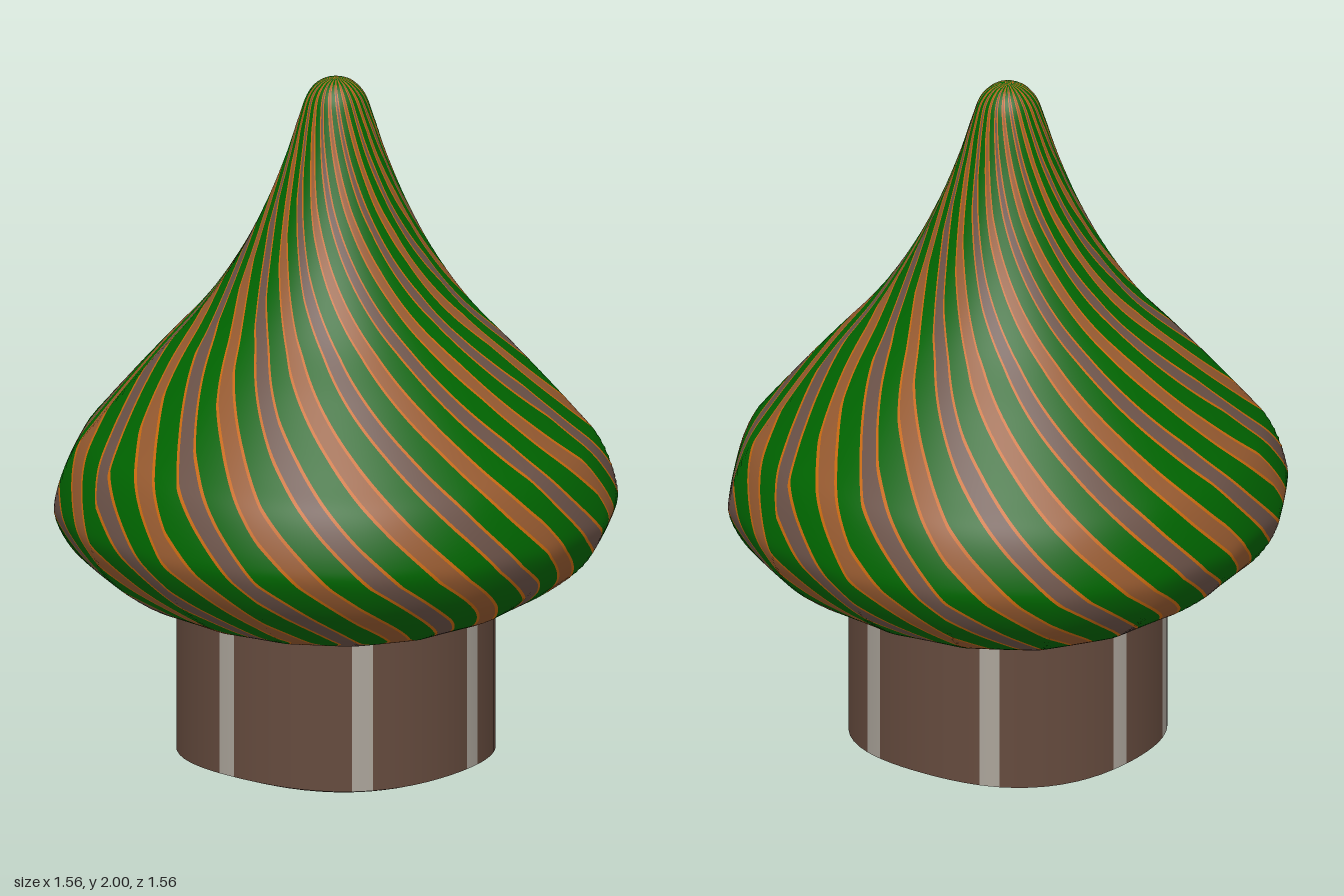
import * as THREE from 'three';
import { mergeGeometries } from 'three/addons/utils/BufferGeometryUtils.js';

const DEG = Math.PI / 180;

const paint = (name, color) => {
  const m = new THREE.MeshStandardMaterial({ color });
  m.name = name;
  return m;
};

// Plan outline of the dome: sixteen sides, slightly fuller on the diagonals
function domePlan(theta) {
  const step = 360 / 16;
  const a = (((theta % step) + step) % step) - step / 2;
  const side = Math.cos((step / 2) * DEG) / Math.cos(a * DEG);
  return side * (1 + 0.033 * Math.sin(2 * theta * DEG) ** 2);
}

// Plan outline of the drum: a rounded square
const drumPlan = (theta) =>
  1 + 0.065 * Math.sin(2 * theta * DEG) ** 2 + 0.016 * Math.cos(2 * theta * DEG);

// Smooth strip of a turned surface between two angle functions of height (degrees from +z to +x)
function strip(profile, plan, left, right, cols) {
  const pos = [], nor = [], idx = [];
  profile.forEach((p, i) => {
    const a = profile[Math.max(i - 1, 0)], b = profile[Math.min(i + 1, profile.length - 1)];
    const n = new THREE.Vector2(b.y - a.y, a.x - b.x).normalize();
    for (let j = 0; j <= cols; j++) {
      const th = THREE.MathUtils.lerp(left(p.y), right(p.y), j / cols);
      const r = p.x * plan(th);
      const s = Math.sin(th * DEG), c = Math.cos(th * DEG);
      pos.push(r * s, p.y, r * c);
      nor.push(n.x * s, n.y, n.x * c);
      if (i && j) {
        const q = i * (cols + 1) + j, o = q - cols - 1;
        idx.push(o - 1, o, q - 1, o, q, q - 1);
      }
    }
  });
  const g = new THREE.BufferGeometry();
  g.setAttribute('position', new THREE.Float32BufferAttribute(pos, 3));
  g.setAttribute('normal', new THREE.Float32BufferAttribute(nor, 3));
  g.setIndex(idx);
  return g;
}

// Piecewise-linear twist of the spiral stripes by height
const TWIST = [[0.43, -10], [0.475, -6.5], [0.6, 6.5], [0.71, 17.5], [0.85, 28], [1.05, 42], [1.29, 60], [1.66, 93], [2, 120]];
function twist(y) {
  let k = 1;
  while (k < TWIST.length - 1 && y > TWIST[k][0]) k++;
  const [y0, t0] = TWIST[k - 1], [y1, t1] = TWIST[k];
  return -(t0 + ((y - y0) / (y1 - y0)) * (t1 - t0));
}

export function createModel() {
  const model = new THREE.Group();
  model.name = 'onionDome';
  const add = (name, parts, material) => {
    const mesh = new THREE.Mesh(mergeGeometries(parts), material);
    mesh.name = name;
    model.add(mesh);
  };

  // Dome profile: wide bulb drawn up to a rounded tip
  const domeProfile = new THREE.SplineCurve([
    [0.41, 0.435], [0.5, 0.46], [0.6, 0.51], [0.715, 0.6], [0.775, 0.7], [0.777, 0.78],
    [0.735, 0.9], [0.66, 1.0], [0.505, 1.18], [0.37, 1.33], [0.27, 1.48], [0.195, 1.63],
    [0.14, 1.77], [0.105, 1.88], [0.08, 1.95], [0.045, 1.988], [0, 2],
  ].map(([r, y]) => new THREE.Vector2(r, y))).getPoints(160);
  domeProfile.forEach((p) => { p.x = Math.max(p.x, 0); });

  // Spiral stripes: green ones with rounded lower ends, bands between edged by thin lines
  const COUNT = 24, PERIOD = 360 / COUNT;
  const grow = (y) => Math.sqrt(THREE.MathUtils.clamp((y - 0.458) / 0.02, 0, 1));
  const edge = (y) => 0.065 + 0.08 * THREE.MathUtils.smoothstep(y, 1.4, 2);
  const half = (y) => 0.26 * grow(y);
  const outer = (y) => half(y) + edge(y) * grow(y);
  const green = [], edges = [], bands = [[], []];
  for (let k = 0; k < COUNT; k++) {
    const at = (f) => (y) => twist(y) + (k + f(y)) * PERIOD;
    const piece = (l, r, cols) => strip(domeProfile, domePlan, at(l), at(r), cols);
    green.push(piece((y) => -half(y), half, 4));
    edges.push(piece(half, outer, 1));
    edges.push(piece((y) => -outer(y), (y) => -half(y), 1));
    bands[k % 2].push(piece(outer, (y) => 1 - outer(y), 4));
  }
  add('greenStripes', green, paint('green', 0x006400));
  add('stripeEdges', edges, paint('orange', 0xc8690f));
  add('greyBands', bands[0], paint('greyBrown', 0x6b5248));
  add('copperBands', bands[1], paint('copperBrown', 0x965a30));

  // Base drum: wall and shallow hollow underside, with seven pale strips carried underneath
  const V = (r, y) => new THREE.Vector2(r, y);
  const wall = [V(0.427, 0.01), V(0.427, 0.45)];
  const skirt = [V(0.13, 0.056), V(0.3, 0.035), V(0.4, 0), V(0.427, 0.01)];
  const hub = [V(0, 0.06), V(0.13, 0.056)];
  const drum = [], pale = [];
  const STRIPS = [12, 65, 119, 173, 209, 262, 319];
  STRIPS.forEach((mid, k) => {
    const next = k < STRIPS.length - 1 ? STRIPS[k + 1] : STRIPS[0] + 360;
    // strips keep their width as the underside narrows
    const spread = (y) => 3.6 + 80 * y;
    const flat = () => 3.8;
    for (const [p, w] of [[wall, flat], [skirt, spread]]) {
      pale.push(strip(p, drumPlan, (y) => mid - w(y), (y) => mid + w(y), 2));
      drum.push(strip(p, drumPlan, (y) => mid + w(y), (y) => next - w(y), 8));
    }
    drum.push(strip(hub, drumPlan, () => mid, () => next, 8));
  });
  add('baseDrum', drum, paint('brown', 0x644a3d));
  add('baseStrips', pale, paint('paleGrey', 0xaaa399));

  return model;
}
